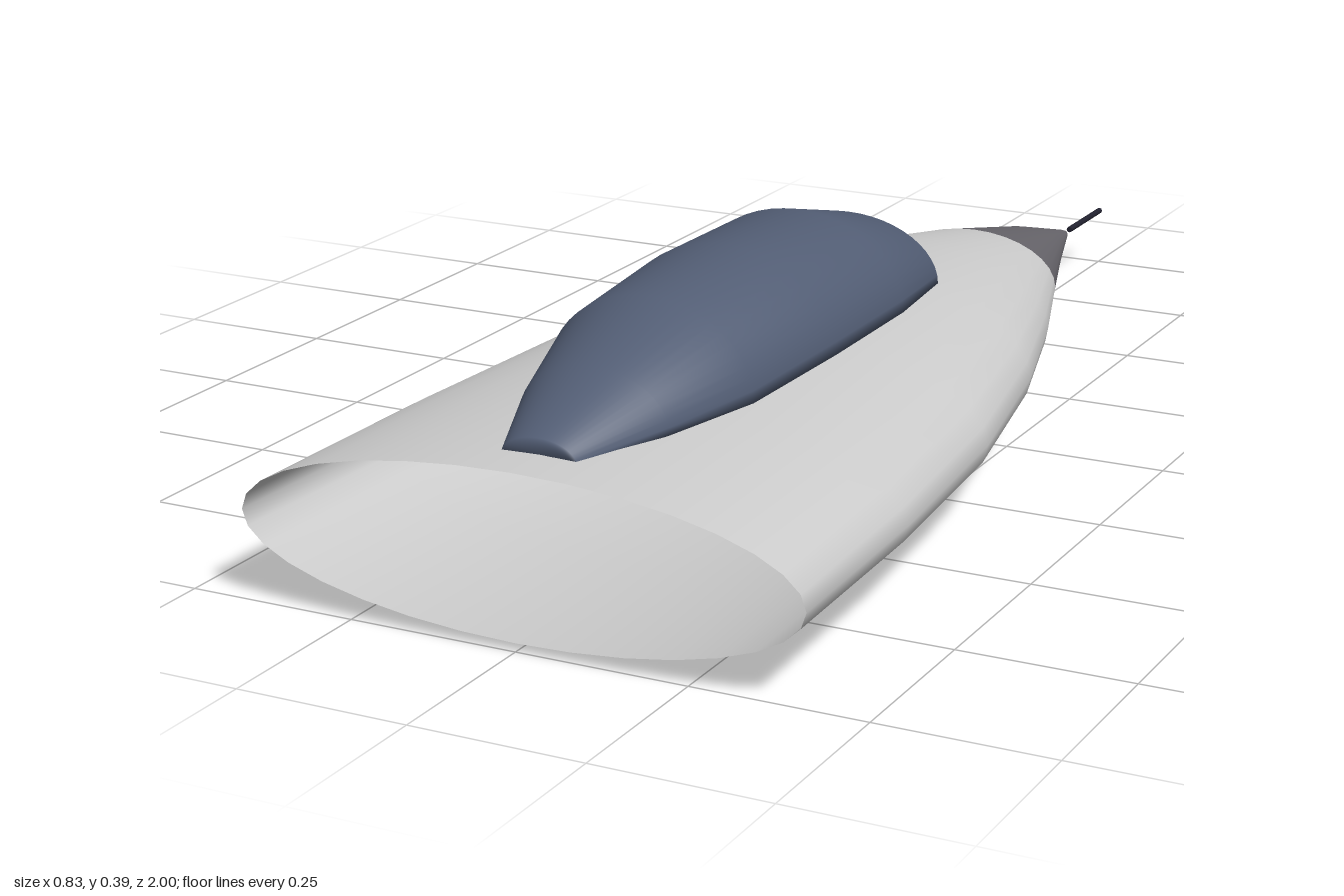
import * as THREE from 'three';

// Skin a row of closed cross-sections (front to back); caps optionally close both ends.
function loft(rings, capped = false) {
  const n = rings[0].length, pos = rings.flat(2), index = [];
  for (let r = 0; r < rings.length - 1; r++) {
    for (let i = 0; i < n; i++) {
      const a = r * n + i, b = r * n + (i + 1) % n;
      index.push(a, a + n, b, b, a + n, b + n);
    }
  }
  if (capped) {
    const last = (rings.length - 1) * n;
    for (let i = 1; i < n - 1; i++) {
      index.push(0, i, i + 1);
      index.push(last, last + i + 1, last + i);
    }
  }
  const g = new THREE.BufferGeometry();
  g.setAttribute('position', new THREE.Float32BufferAttribute(pos, 3));
  g.setIndex(index);
  g.computeVertexNormals();
  return g;
}

// Full ellipse between a bottom and a top height
function ellipse([z, halfWidth, bottom, top], n = 32) {
  return Array.from({ length: n }, (_, i) => {
    const t = (i / n) * Math.PI * 2;
    return [halfWidth * Math.cos(t), (top + bottom) / 2 + (top - bottom) / 2 * Math.sin(t), z];
  });
}

// Half ellipse standing on a flat base
function arch([z, halfWidth, base, top], n = 24) {
  return Array.from({ length: n + 1 }, (_, i) => {
    const t = (i / n) * Math.PI;
    return [halfWidth * Math.cos(t), base + (top - base) * Math.sin(t), z];
  });
}

export function createModel() {
  const group = new THREE.Group();
  const add = (name, geometry, color, side = THREE.DoubleSide) => {
    const mesh = new THREE.Mesh(geometry, new THREE.MeshStandardMaterial({ color, side }));
    mesh.name = name;
    group.add(mesh);
    return mesh;
  };

  // Hull: thin open shell, [z, half width, bottom, top]
  add('hull', loft([
    [1, 0.415, 0.013, 0.243],
    [0.68, 0.402, 0.007, 0.252],
    [0.35, 0.37, 0.001, 0.26],
    [0.05, 0.308, 0.006, 0.258],
    [-0.2, 0.232, 0.018, 0.24],
    [-0.44, 0.145, 0.041, 0.2],
  ].map((s) => ellipse(s))), 0xcccccc);

  // Nose: dark tapering shell
  add('nose', loft([
    [-0.44, 0.145, 0.041, 0.2],
    [-0.65, 0.07, 0.067, 0.153],
    [-0.82, 0.012, 0.09, 0.105],
    [-0.84, 0.002, 0.094, 0.098],
  ].map((s) => ellipse(s))), 0x66646a);

  // Canopy: bubble on top of the hull
  add('canopy', loft([
    [0.93, 0.056, 0.238, 0.267],
    [0.79, 0.113, 0.244, 0.322],
    [0.64, 0.157, 0.249, 0.377],
    [0.42, 0.172, 0.256, 0.393],
    [0.2, 0.17, 0.256, 0.39],
    [0.03, 0.148, 0.252, 0.345],
    [-0.1, 0.052, 0.245, 0.268],
  ].map((s) => arch(s)), true), 0x525d74);

  // Probe ahead of the nose tip
  const probe = add('probe', new THREE.CylinderGeometry(0.005, 0.005, 0.143, 8), 0x222230, THREE.FrontSide);
  probe.rotation.x = Math.PI / 2;
  probe.position.set(0, 0.096, -0.9285);

  return group;
}
